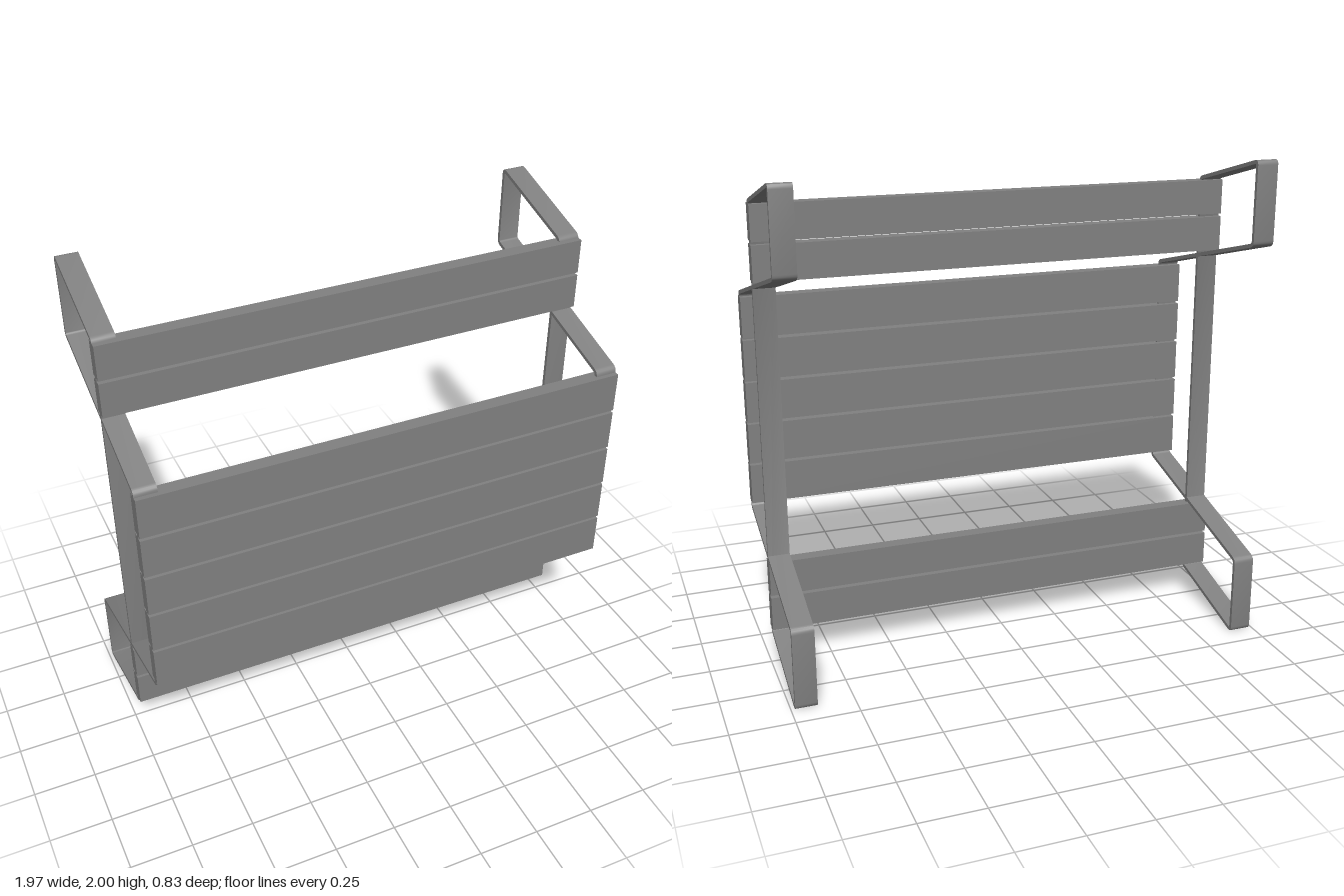
import * as THREE from 'three';
import { toCreasedNormals } from 'three/addons/utils/BufferGeometryUtils.js';

const HALF_W = 0.985;      // half length of the planks
const STRAP_W = 0.088;     // width of the flat bar
const STRAP_T = 0.015;     // thickness of the flat bar
const SEAT_Z = 0.0375, TOP_Z = 0.3845, GAP = 0.012;

// Closed centreline of the bent flat bar as (z, y), with rounded corners
function strapPath() {
  const corners = [
    [SEAT_Z, 1.878], [-0.405, 1.995], [-0.405, 1.67], [0.387, 1.461],
    [0.387, 0.539], [-0.405, 0.33], [-0.405, 0.005], [SEAT_Z, 0.122],
  ].map(([z, y]) => new THREE.Vector2(z, y));
  const n = corners.length, r = 0.016, points = [];
  corners.forEach((c, i) => {
    const toward = (p) => p.clone().sub(c).setLength(r).add(c);
    const a = toward(corners[(i + n - 1) % n]), b = toward(corners[(i + 1) % n]);
    points.push(...new THREE.QuadraticBezierCurve(a, c, b).getPoints(4));
  });
  return points;
}

// Sweeps a rectangular section along the closed centreline
function strapGeometry() {
  const path = strapPath(), n = path.length, pos = [], index = [];
  path.forEach((p, i) => {
    const d0 = p.clone().sub(path[(i + n - 1) % n]).normalize();
    const d1 = path[(i + 1) % n].clone().sub(p).normalize();
    const t = d0.clone().add(d1).normalize();
    const h = STRAP_T / 2 / t.dot(d1);
    const nz = -t.y * h, ny = t.x * h, w = STRAP_W / 2;
    for (const [sx, s] of [[-w, -1], [w, -1], [w, 1], [-w, 1]])
      pos.push(sx, p.y + ny * s, p.x + nz * s);
    for (let k = 0; k < 4; k++) {
      const a = i * 4 + k, b = i * 4 + (k + 1) % 4;
      const c = ((i + 1) % n) * 4 + k, d = ((i + 1) % n) * 4 + (k + 1) % 4;
      index.push(a, b, d, a, d, c);
    }
  });
  const g = new THREE.BufferGeometry();
  g.setAttribute('position', new THREE.Float32BufferAttribute(pos, 3));
  g.setIndex(index);
  return toCreasedNormals(g, 0.6);
}

export function createModel() {
  const model = new THREE.Group();
  model.name = 'picnicTable';
  const grey = new THREE.MeshStandardMaterial({ color: 0x808080 });
  grey.name = 'grey';

  // Row of equal planks between two heights
  function planks(name, count, y0, y1, z, depth) {
    const group = new THREE.Group();
    group.name = name;
    const h = (y1 - y0 - GAP * (count - 1)) / count;
    const geometry = new THREE.BoxGeometry(HALF_W * 2, h, depth);
    for (let i = 0; i < count; i++) {
      const plank = new THREE.Mesh(geometry, grey);
      plank.name = name + 'Plank';
      plank.position.set(0, y0 + h / 2 + i * (h + GAP), z);
      group.add(plank);
    }
    model.add(group);
  }
  planks('tableTop', 5, 0.56, 1.445, TOP_Z, 0.057);
  planks('lowerSeat', 2, 0.135, 0.43, SEAT_Z, 0.057);
  planks('upperSeat', 2, 1.575, 1.87, SEAT_Z, 0.057);

  // Bent bar frames, flush with the plank ends
  const strap = strapGeometry();
  for (const side of [-1, 1]) {
    const frame = new THREE.Mesh(strap, grey);
    frame.name = side > 0 ? 'leftFrame' : 'rightFrame';
    frame.position.x = side * (HALF_W - STRAP_W / 2);
    model.add(frame);
  }
  return model;
}
